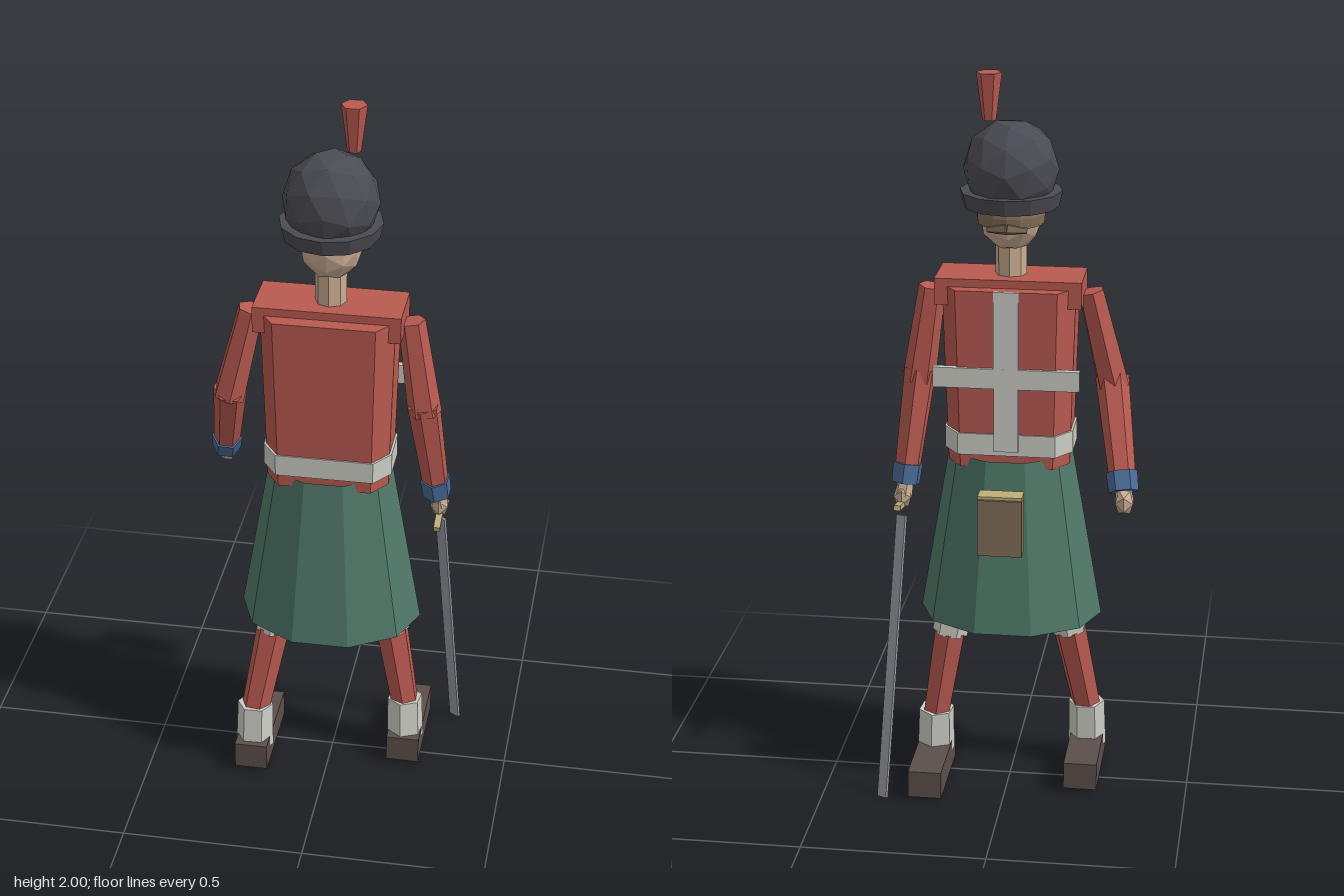
import * as THREE from 'three';

const colours = {
  red: 0xb95a50, white: 0xcdcdc6, green: 0x50796a, skin: 0xcbae94, brown: 0x836f58,
  charcoal: 0x4b4b53, boot: 0x5b4f4a, blue: 0x4a6b96, brass: 0xbfae78, steel: 0x959aa3,
};

export function createModel() {
  const model = new THREE.Group();
  model.name = 'kiltedSoldier';
  const mat = {};
  for (const [name, color] of Object.entries(colours)) {
    mat[name] = new THREE.MeshStandardMaterial({ color, flatShading: true });
    mat[name].name = name;
  }
  mat.green.side = THREE.DoubleSide;

  const add = (name, geometry, colour, x = 0, y = 0, z = 0) => {
    const mesh = new THREE.Mesh(geometry, mat[colour]);
    mesh.name = name;
    mesh.position.set(x, y, z);
    model.add(mesh);
    return mesh;
  };

  // Box given by its limits on each axis
  const box = (name, colour, x0, x1, y0, y1, z0, z1) =>
    add(name, new THREE.BoxGeometry(x1 - x0, y1 - y0, z1 - z0), colour,
      (x0 + x1) / 2, (y0 + y1) / 2, (z0 + z1) / 2);

  // Faceted tapered limb between two points
  const limb = (name, colour, a, b, ra, rb, sides = 6) => {
    const from = new THREE.Vector3(...a), to = new THREE.Vector3(...b);
    const dir = to.clone().sub(from);
    const mesh = add(name, new THREE.CylinderGeometry(rb, ra, dir.length(), sides), colour);
    mesh.position.copy(from).add(to).multiplyScalar(0.5);
    mesh.quaternion.setFromUnitVectors(new THREE.Vector3(0, 1, 0), dir.normalize());
    return mesh;
  };

  // Point part of the way along a line
  const mix = (a, b, t) => a.map((v, i) => v + (b[i] - v) * t);

  // Chamfered trunk section, scaled at its lower end
  const trunk = (name, colour, y0, y1, sTop, sBottom) => {
    const half = [[0.135, -0.115], [0.178, -0.055], [0.178, 0.055], [0.135, 0.115]];
    const outline = [...half, ...half.map(([x, y]) => [-x, -y])];
    const shape = new THREE.Shape(outline.map(([x, y]) => new THREE.Vector2(x, y)));
    const g = new THREE.ExtrudeGeometry(shape, { depth: y1 - y0, bevelEnabled: false });
    g.rotateX(-Math.PI / 2);
    const p = g.attributes.position;
    for (let i = 0; i < p.count; i++) {
      const s = p.getY(i) < 0.001 ? sBottom : sTop;
      p.setXYZ(i, p.getX(i) * s, p.getY(i), p.getZ(i) * s);
    }
    g.computeVertexNormals();
    return add(name, g, colour, 0, y0, 0.03);
  };

  // Jacket, shoulders and belts
  trunk('jacket', 'red', 0.95, 1.44, 1, 0.92);
  box('shoulders', 'red', -0.195, 0.195, 1.39, 1.462, -0.05, 0.105);
  trunk('waistBelt', 'white', 0.985, 1.045, 0.97, 0.97);
  box('chestStrap', 'white', -0.195, 0.195, 1.175, 1.23, -0.09, -0.072);
  const strap = box('verticalStrap', 'white', -0.033, 0.033, 1.0, 1.44, -0.09, -0.072);
  strap.rotation.x = 0.01;

  // Open ten-sided kilt
  const kilt = new THREE.CylinderGeometry(0.168, 0.25, 0.475, 10, 1, true);
  kilt.rotateY(Math.PI / 2);
  kilt.scale(1, 1, 0.8);
  add('kilt', kilt, 'green', 0, 0.7375, 0.025);

  // Pouch at the front of the kilt
  box('pouch', 'brown', -0.058, 0.06, 0.75, 0.907, -0.215, -0.157);
  box('pouchFlap', 'brass', -0.058, 0.06, 0.907, 0.915, -0.208, -0.157);

  // Neck, head and face
  limb('neck', 'skin', [0, 1.43, 0.028], [0, 1.56, 0.028], 0.042, 0.042, 8);
  const head = new THREE.IcosahedronGeometry(1, 1);
  head.scale(0.085, 0.095, 0.088);
  add('head', head, 'skin', 0, 1.622, 0.02);
  const hair = new THREE.SphereGeometry(1, 8, 3, Math.PI, Math.PI, 1.0, 0.8);
  hair.scale(0.091, 0.1, 0.094);
  add('hair', hair, 'brown', 0, 1.627, 0.02);
  for (const s of [-1, 1]) {
    const half = limb('moustache', 'brown', [0, 1.607, -0.068], [s * 0.052, 1.6, -0.058], 0.017, 0.008, 5);
    half.scale.z = 0.9;
  }

  // Fur cap, its band and the plume
  const cap = new THREE.IcosahedronGeometry(1, 1);
  cap.rotateX(Math.atan(0.618));
  cap.scale(0.127, 0.132, 0.127);
  add('furCap', cap, 'charcoal', 0, 1.745, 0.025);
  add('capBand', new THREE.CylinderGeometry(0.136, 0.126, 0.042, 12), 'charcoal', 0, 1.668, 0.025);
  const plume = new THREE.CylinderGeometry(0.034, 0.018, 0.125, 6);
  plume.rotateY(Math.PI / 2);
  add('plume', plume, 'red', 0.055, 1.9375, 0.006);

  // Arms with blue cuffs and bare hands
  const arms = [
    ['left', [0.212, 1.42, 0.028], [0.25, 1.17, 0.036], [0.284, 0.875, -0.018], [0.291, 0.838, -0.024]],
    ['right', [-0.212, 1.42, 0.028], [-0.272, 1.17, 0.035], [-0.318, 0.91, -0.11], [-0.322, 0.888, -0.13]],
  ];
  for (const [side, shoulder, elbow, wrist, hand] of arms) {
    limb(side + 'UpperArm', 'red', shoulder, mix(shoulder, elbow, 1.06), 0.036, 0.045);
    limb(side + 'Forearm', 'red', mix(elbow, wrist, -0.04), mix(elbow, wrist, 0.85), 0.045, 0.036);
    limb(side + 'Cuff', 'blue', mix(elbow, wrist, 0.82), wrist, 0.042, 0.04);
    limb(side + 'Wrist', 'skin', wrist, hand, 0.022, 0.026);
    const fist = new THREE.IcosahedronGeometry(0.03, 0);
    fist.scale(0.95, 1.25, 1);
    add(side + 'Hand', fist, 'skin', ...hand);
  }

  // Legs, stockings, spats and boots
  const legs = [
    ['left', [0.1, 0.78, 0.02], [0.165, 0.45, -0.002], [0.208, 0.18, -0.003], 0.212, -0.205],
    ['right', [-0.1, 0.78, 0.03], [-0.157, 0.45, 0.055], [-0.206, 0.18, 0.098], -0.208, -0.1],
  ];
  for (const [side, hip, knee, ankle, footX, toe] of legs) {
    limb(side + 'Thigh', 'skin', hip, knee, 0.055, 0.043);
    limb(side + 'StockingTop', 'white', mix(hip, knee, 0.84), mix(knee, ankle, 0.08), 0.05, 0.049);
    limb(side + 'Stocking', 'red', mix(knee, ankle, 0.06), ankle, 0.047, 0.04);
    limb(side + 'Spat', 'white', [ankle[0], 0.195, ankle[2]], [footX, 0.06, ankle[2] + 0.008], 0.05, 0.053);
    box(side + 'Boot', 'boot', footX - 0.046, footX + 0.046, 0.015, 0.092, toe, toe + 0.267);
  }

  // Sword held point down
  const guard = add('swordGuard', new THREE.BoxGeometry(0.018, 0.014, 0.16), 'brass', 0.293, 0.816, -0.03);
  guard.rotation.x = 0.2;
  const blade = limb('swordBlade', 'steel', [0.293, 0.785, -0.038], [0.332, 0.005, -0.195], 0.02, 0.02);
  blade.geometry = new THREE.BoxGeometry(0.03, blade.geometry.parameters.height, 0.009);

  return model;
}
